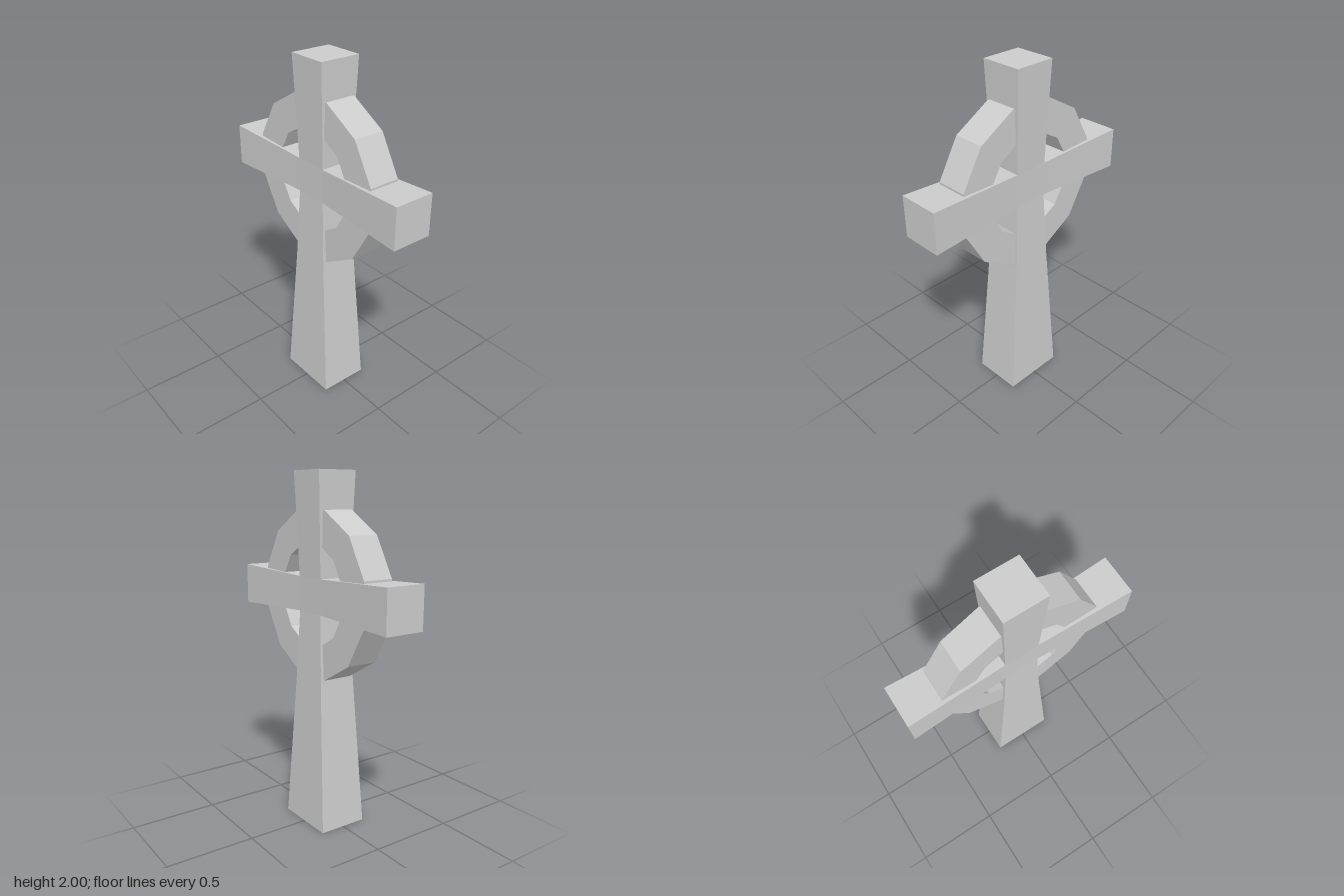
import * as THREE from 'three';

const material = new THREE.MeshStandardMaterial({ color: 0xcccccc, flatShading: true });

function addMesh(group, geometry, name) {
  const mesh = new THREE.Mesh(geometry, material);
  mesh.name = name;
  group.add(mesh);
  return mesh;
}

// Square bar along y that follows sections of [y, half width in x, half depth in z]
function taperedBar(sections) {
  const n = sections.length - 1;
  const geometry = new THREE.BoxGeometry(2, n, 2, 1, n, 1);
  const pos = geometry.attributes.position;
  for (let i = 0; i < pos.count; i++) {
    const [y, hx, hz] = sections[Math.round(pos.getY(i) + n / 2)];
    pos.setXYZ(i, pos.getX(i) * hx, y, pos.getZ(i) * hz);
  }
  const flat = geometry.toNonIndexed();
  flat.computeVertexNormals();
  return flat;
}

// Twelve-sided outline with a corner at 45 degrees
function polygon(radius) {
  return Array.from({ length: 12 }, (_, i) => {
    const a = Math.PI / 12 + (i * Math.PI) / 6;
    return new THREE.Vector2(radius * Math.cos(a), radius * Math.sin(a));
  });
}

export function createModel() {
  const group = new THREE.Group();
  group.name = 'ringedStoneCross';
  const centreY = 1.337;

  // Upright shaft: broad foot, narrow waist at the crossing, flared head
  addMesh(group, taperedBar([
    [0, 0.143, 0.185],
    [0.85, 0.111, 0.121],
    [1.24, 0.098, 0.1],
    [1.434, 0.098, 0.1],
    [2, 0.118, 0.118],
  ]), 'shaft');

  // Pair of flared arms along z
  for (const side of [1, -1]) {
    const arm = taperedBar([
      [0.1, 0.098, 0.097],
      [0.665, 0.118, 0.118],
    ]);
    arm.rotateX((side * Math.PI) / 2);
    addMesh(group, arm, side > 0 ? 'frontArm' : 'backArm').position.y = centreY;
  }

  // Faceted ring around the crossing
  const outline = new THREE.Shape(polygon(0.475));
  outline.holes.push(new THREE.Path(polygon(0.29)));
  const ring = new THREE.ExtrudeGeometry(outline, { depth: 0.18, bevelEnabled: false });
  ring.translate(0, 0, -0.09);
  ring.rotateY(Math.PI / 2);
  addMesh(group, ring, 'ring').position.y = centreY;

  return group;
}
